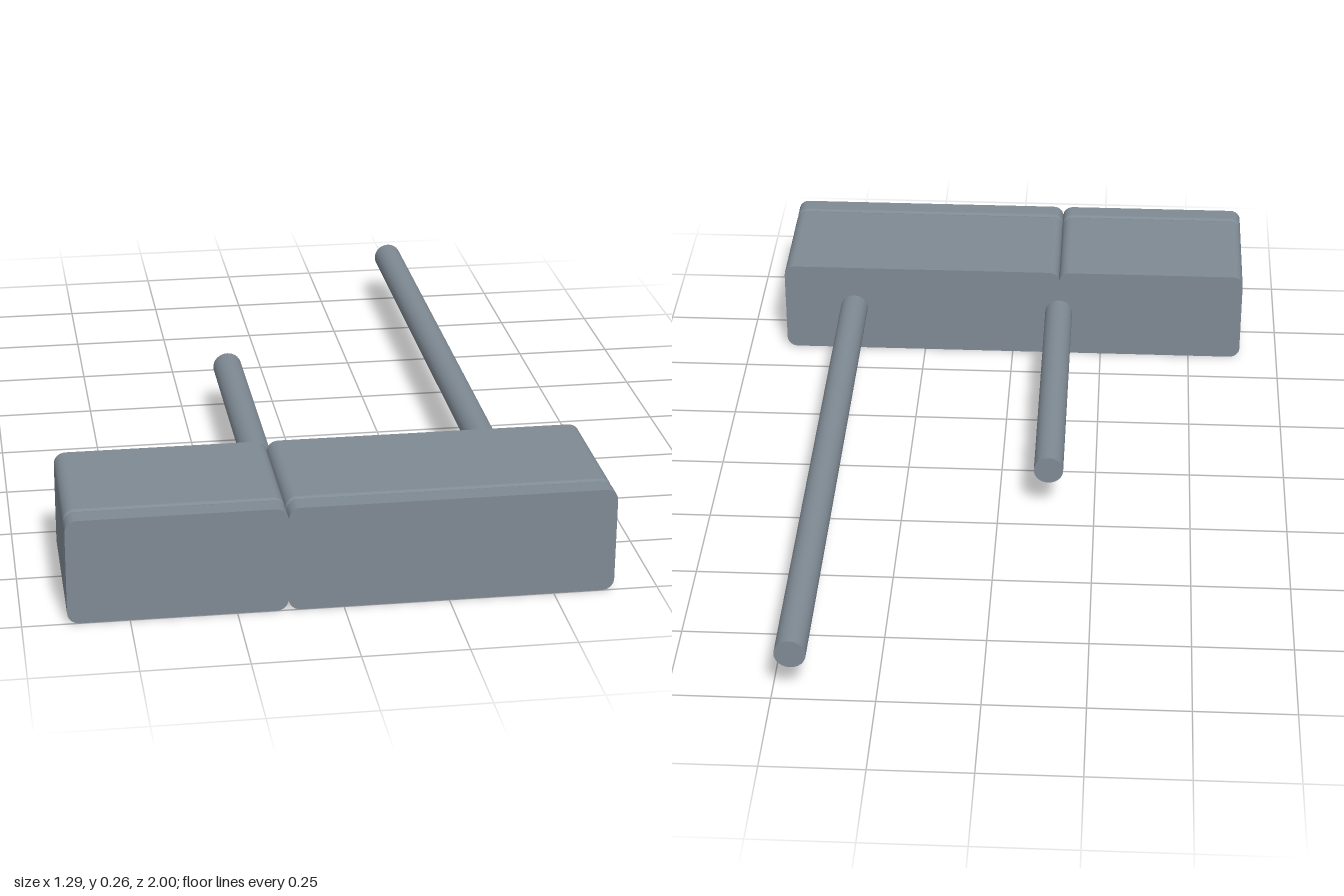
import * as THREE from 'three';

const H = 0.26, R = 0.028, SPLIT = -0.13, HALF = 0.645, EASE = 0.011;
const BACK = 0.61, SEAM = 0.943, FRONT = 1;
const material = new THREE.MeshStandardMaterial({ color: 0x7f8a94 });

// Corner-rounded outline in x and y, shrunk evenly by inset: [x, y, normal x, normal y]
function outline(x0, x1, inset) {
  const pts = [], r = R - inset, n = 6;
  const centres = [[x1 - R, H - R], [x0 + R, H - R], [x0 + R, R], [x1 - R, R]];
  centres.forEach(([cx, cy], q) => {
    for (let i = 0; i <= n; i++) {
      const a = (q + i / n) * Math.PI / 2, c = Math.cos(a), s = Math.sin(a);
      pts.push([cx + r * c, cy + r * s, c, s]);
    }
  });
  return pts;
}

// Solid lofted through sections [z, inset, normal z], listed back to front
function block(x0, x1, sections) {
  const pos = [], nor = [], idx = [], n = 28, last = sections.length - 1;
  const ring = (z, inset, nz, spread) => {
    for (const [x, y, c, s] of outline(x0, x1, inset)) {
      pos.push(x, y, z);
      nor.push(c * spread, s * spread, nz);
    }
  };
  sections.forEach(([z, inset, nz]) => ring(z, inset, nz, Math.sqrt(1 - nz * nz)));
  for (let s = 0; s < last; s++) {
    for (let i = 0; i < n; i++) {
      const a = s * n + i, b = s * n + (i + 1) % n;
      idx.push(a, b, b + n, a, b + n, a + n);
    }
  }
  // flat end caps
  ring(sections[0][0], sections[0][1], -1, 0);
  ring(sections[last][0], sections[last][1], 1, 0);
  const back = (last + 1) * n, front = back + n;
  for (let i = 1; i < n - 1; i++) {
    idx.push(back, back + i + 1, back + i, front, front + i, front + i + 1);
  }
  const g = new THREE.BufferGeometry();
  g.setAttribute('position', new THREE.Float32BufferAttribute(pos, 3));
  g.setAttribute('normal', new THREE.Float32BufferAttribute(nor, 3));
  g.setIndex(idx);
  return g;
}

export function createModel() {
  const group = new THREE.Group();
  const add = (name, geometry) => {
    const mesh = new THREE.Mesh(geometry, material);
    mesh.name = name;
    group.add(mesh);
    return mesh;
  };

  // Rounded edges where the front plates meet the rear blocks
  const ease = [0, 1, 2, 3, 4, 5, 6].map(i => {
    const a = i * Math.PI / 12;
    // distance from seam, inset, normal z
    return [EASE * (1 - Math.sin(a)), EASE * (1 - Math.cos(a)), Math.sin(a)];
  });
  // the side is flush at the far end of the edge and inset at the seam
  const rear = [[BACK, 0, 0], ...ease.map(([d, inset, nz]) => [SEAM - d, inset, nz])];
  const plate = [...ease.map(([d, inset, nz]) => [SEAM + d, inset, -nz]).reverse(), [FRONT, 0, 0]];

  // Short right-hand pair and long left-hand pair
  for (const [side, x0, x1] of [['right', -HALF, SPLIT], ['left', SPLIT, HALF]]) {
    add(side + 'RearBlock', block(x0, x1, rear));
    add(side + 'FrontPlate', block(x0, x1, plate));
  }

  // Round rods running back from the blocks
  for (const [name, x, end] of [['shortRod', SPLIT, -0.195], ['longRod', 0.45, -1]]) {
    const rod = add(name, new THREE.CylinderGeometry(0.038, 0.038, BACK - end, 32));
    rod.rotation.x = Math.PI / 2;
    rod.position.set(x, 0.133, (BACK + end) / 2);
  }
  return group;
}
